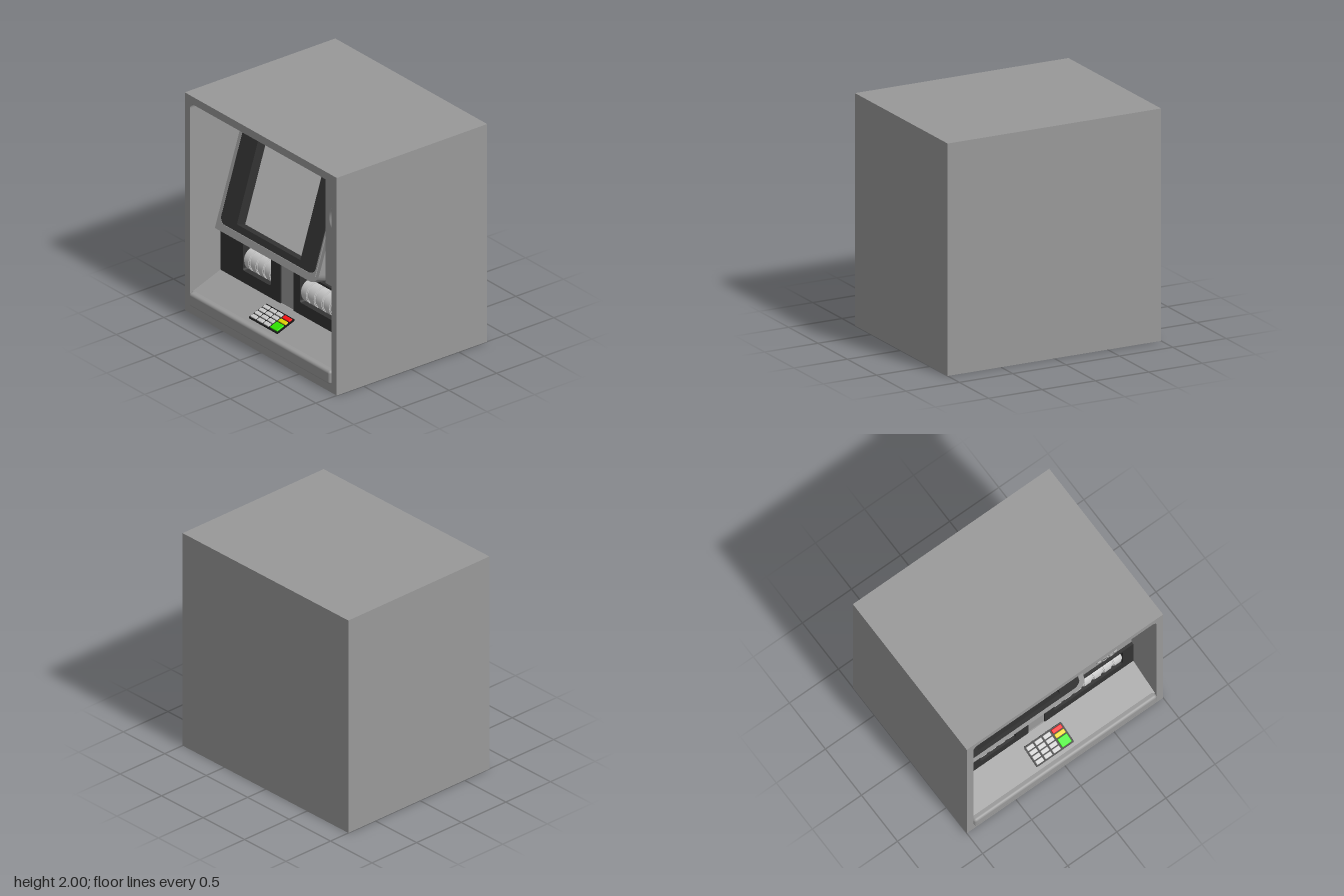
import * as THREE from 'three';
import { RoundedBoxGeometry } from 'three/addons/geometries/RoundedBoxGeometry.js';

const mat = (color) => new THREE.MeshStandardMaterial({ color });
const GREY = mat(0x999999), DARK = mat(0x333333), LIGHT = mat(0xcccccc), MID = mat(0x555555), BLACK = mat(0x161616);

function add(parent, name, geometry, material, x = 0, y = 0, z = 0) {
  const mesh = new THREE.Mesh(geometry, material);
  mesh.name = name;
  mesh.position.set(x, y, z);
  parent.add(mesh);
  return mesh;
}

// Box given by its limits
function box(parent, name, material, x0, x1, y0, y1, z0, z1) {
  return add(parent, name, new THREE.BoxGeometry(x1 - x0, y1 - y0, z1 - z0), material,
    (x0 + x1) / 2, (y0 + y1) / 2, (z0 + z1) / 2);
}

// Rectangle with its own radius at the bottom left, bottom right, top right and top left
function roundRect(x0, x1, y0, y1, radii, Type = THREE.Shape) {
  const [bl, br, tr, tl] = Array.isArray(radii) ? radii : [radii, radii, radii, radii];
  const s = new Type();
  const corner = (cx, cy, r, a) => (r > 0 ? s.absarc(cx, cy, r, a, a + Math.PI / 2, false) : s.lineTo(cx, cy));
  s.moveTo(x0 + bl, y0);
  s.lineTo(x1 - br, y0);
  corner(x1 - br, y0 + br, br, -Math.PI / 2);
  s.lineTo(x1, y1 - tr);
  corner(x1 - tr, y1 - tr, tr, 0);
  s.lineTo(x0 + tl, y1);
  corner(x0 + tl, y1 - tl, tl, Math.PI / 2);
  s.lineTo(x0, y0 + bl);
  corner(x0 + bl, y0 + bl, bl, Math.PI);
  return s;
}
const hole = (x0, x1, y0, y1, r) => roundRect(x0, x1, y0, y1, r, THREE.Path);

// Flat plate facing +z between z0 and z1
function plate(parent, name, material, shape, z0, z1, holes = []) {
  shape.holes.push(...holes);
  const g = new THREE.ExtrudeGeometry(shape, { depth: z1 - z0, bevelEnabled: false, curveSegments: 8 });
  return add(parent, name, g, material, 0, 0, z0);
}

// Side profile of [z, y] points drawn out along x
function profile(parent, name, material, points, x0, x1) {
  const shape = new THREE.Shape(points.map(([z, y]) => new THREE.Vector2(-z, y)));
  const g = new THREE.ExtrudeGeometry(shape, { depth: x1 - x0, bevelEnabled: false }).rotateY(Math.PI / 2);
  return add(parent, name, g, material, x0, 0, 0);
}

// Disc or ring facing +z turned from [radius, z] points
function turned(parent, name, material, points, x, y, z) {
  const g = new THREE.LatheGeometry(points.map(([r, h]) => new THREE.Vector2(r, h)), 40).rotateX(Math.PI / 2);
  const m = material.clone();
  m.side = THREE.DoubleSide;
  return add(parent, name, g, m, x, y, z);
}

function addScreen(model) {
  const panel = new THREE.Group();
  panel.name = 'screenPanel';
  panel.position.set(0, 0.7, 0.52);
  panel.rotation.x = -0.309;
  model.add(panel);
  plate(panel, 'panelBody', GREY, roundRect(-0.93, 0.41, 0, 1.05, [0.01, 0.09, 0, 0]), -0.1, 0,
    [hole(-0.72, 0.2, 0.1, 0.95, 0.01)]);
  plate(panel, 'panelBorder', GREY, roundRect(-0.9, 0.375, 0.05, 0.995, 0.012), -0.01, 0.008,
    [hole(-0.885, 0.36, 0.065, 0.98, 0.07)]);
  plate(panel, 'screenBezel', DARK, roundRect(-0.88, 0.355, 0.07, 0.975, 0.065), -0.09, 0.012,
    [hole(-0.675, 0.16, 0.128, 0.925, 0)]);
  box(panel, 'screen', LIGHT, -0.7, 0.18, 0.11, 0.94, -0.1, -0.08);
}

function addHeader(model) {
  const pts = [[0.1, 1.93], [0.1, 1.7], [0.2, 1.7]];
  for (let i = 0; i <= 8; i++) {
    const a = (i / 8) * Math.PI / 2;
    pts.push([0.2 + 0.12 * Math.sin(a), 1.82 - 0.12 * Math.cos(a)]);
  }
  pts.push([0.32, 1.93]);
  profile(model, 'header', GREY, pts, -0.93, 0.42);
  for (const [x0, x1] of [[-0.89, -0.57], [-0.53, 0.41]])
    plate(model, 'headerWindow', DARK, roundRect(x0, x1, 1.74, 1.925, [0.05, 0.05, 0.02, 0.02]), 0.2, 0.33);
}

function addColumn(model) {
  const front = 0.437;
  plate(model, 'serviceColumn', GREY, roundRect(0.42, 0.94, 0.7, 1.94, 0), 0.1, front);
  for (let i = 0; i < 5; i++)
    box(model, 'ventLine', DARK, 0.52, 0.835, 1.857 + i * 0.013, 1.86 + i * 0.013, front - 0.01, front + 0.003);
  // Receipt outlet
  plate(model, 'receiptOutlet', DARK, roundRect(0.505, 0.85, 1.675, 1.83, [0.08, 0.08, 0.01, 0.01]), 0.4, front + 0.02);
  box(model, 'receiptSlot', BLACK, 0.54, 0.81, 1.737, 1.745, front, front + 0.023);
  // Card reader: raised ring, dished face, finger hollow and slot
  turned(model, 'cardReaderRing', GREY, [[0.148, 0], [0.148, 0.045], [0.138, 0.058], [0.125, 0.058], [0.115, 0.045], [0.115, 0.02]], 0.675, 1.37, front);
  turned(model, 'cardReaderDish', LIGHT, [[0.116, 0.04], [0.09, 0.022], [0.05, 0.012], [0, 0.01]], 0.675, 1.37, front);
  plate(model, 'fingerHollow', GREY, roundRect(0.605, 0.7, 1.29, 1.47, 0.047), front, front + 0.028,
    [hole(0.62, 0.685, 1.305, 1.455, 0.032)]);
  box(model, 'cardSlot', LIGHT, 0.59, 0.76, 1.364, 1.378, front, front + 0.045);
  box(model, 'cardSlotGap', BLACK, 0.6, 0.75, 1.369, 1.373, front, front + 0.047);
  // Reader plate below the card slot
  plate(model, 'readerPlate', GREY, roundRect(0.57, 0.78, 0.76, 1.24, 0.01), 0.4, front + 0.008);
  plate(model, 'readerPad', MID, roundRect(0.58, 0.77, 0.865, 1.195, 0.025), 0.4, front + 0.018);
  plate(model, 'socketPlate', LIGHT, roundRect(0.58, 0.77, 0.77, 0.84, 0.02), 0.4, front + 0.014);
  for (const x of [0.64, 0.71]) {
    turned(model, 'socketRing', GREY, [[0.03, 0], [0.03, 0.012], [0.022, 0.012], [0.022, 0]], x, 0.805, front + 0.014);
    turned(model, 'socketPin', x < 0.7 ? DARK : LIGHT, [[0.01, 0], [0.01, 0.008], [0, 0.008]], x, 0.805, front + 0.014);
  }
}

// Dark panel with a recessed tray and a ribbed roller
function addDispenser(model, x0, x1, radii, t0, t1, count) {
  const g = new THREE.Group();
  g.name = 'dispenser';
  model.add(g);
  plate(g, 'dispenserPanel', DARK, roundRect(x0, x1, 0.29, 0.7, radii), 0.26, 0.462,
    [hole(t0, t1, 0.41, 0.68, 0.025)]);
  box(g, 'trayBack', BLACK, t0 - 0.01, t1 + 0.01, 0.4, 0.69, 0.255, 0.27);
  const roller = (name, r, x, w) =>
    add(g, name, new THREE.CylinderGeometry(r, r, w, 32).rotateZ(Math.PI / 2), LIGHT, x, 0.5, 0.36);
  roller('rollerCore', 0.09, (t0 + t1) / 2, t1 - t0);
  const step = (t1 - t0) / count;
  for (let i = 0; i < count; i++) {
    roller('rollerBand', 0.102, t0 + (i + 0.5) * step, step * 0.62);
    roller('rollerRib', 0.096, t0 + (i + 0.5) * step, step * 0.8);
  }
}

function addKeypad(model) {
  const pad = new THREE.Group();
  pad.name = 'keypad';
  pad.position.set(-0.05, 0.24, 0.623);
  pad.rotation.x = -1.22;
  model.add(pad);
  plate(pad, 'keypadBase', BLACK, roundRect(-0.19, 0.19, -0.1, 0.1, 0.012), -0.02, 0.008);
  const key = (name, material, x, y, w, h) =>
    add(pad, name, new RoundedBoxGeometry(w, h, 0.016, 2, 0.005), material, x, y, 0.012);
  for (let c = 0; c < 3; c++)
    for (let r = 0; r < 4; r++) key('numberKey', LIGHT, -0.143 + c * 0.085, 0.068 - r * 0.0455, 0.07, 0.036);
  const colours = [0xff1010, 0xe6d400, 0x30e800];
  [[0.068, 0.036], [0.0225, 0.036], [-0.0455, 0.08]].forEach(([y, h], i) =>
    key('commandKey', mat(colours[i]), 0.127, y, 0.095, h));
}

export function createModel() {
  const model = new THREE.Group();
  model.name = 'cashMachine';

  // Housing: solid rear with a deep open front
  box(model, 'housingRear', GREY, -1, 1, 0, 2, -0.8, 0.1);
  plate(model, 'housingFront', GREY, roundRect(-1, 1, 0, 2, 0), 0.1, 0.78, [hole(-0.93, 0.93, 0.07, 1.93, 0.05)]);

  addHeader(model);
  addScreen(model);
  addColumn(model);

  // Lower wall between and behind the dispensers
  box(model, 'lowerWall', GREY, -0.93, 0.93, 0.28, 0.7, 0.1, 0.25);
  box(model, 'centrePost', GREY, -0.2, 0.09, 0.28, 0.7, 0.25, 0.45);
  addDispenser(model, -0.93, -0.14, [0, 0, 0.05, 0], -0.635, -0.265, 4);
  addDispenser(model, 0.03, 0.93, [0, 0, 0, 0.05], 0.115, 0.825, 7);

  // Sloping shelf with a rounded front lip
  profile(model, 'shelf', GREY, [[0.1, 0.08], [0.1, 0.3], [0.46, 0.3], [0.76, 0.19], [0.76, 0.08]], -0.93, 0.93);
  add(model, 'shelfLip', new RoundedBoxGeometry(1.86, 0.125, 0.12, 4, 0.025), GREY, 0, 0.1325, 0.738);
  addKeypad(model);
  return model;
}
